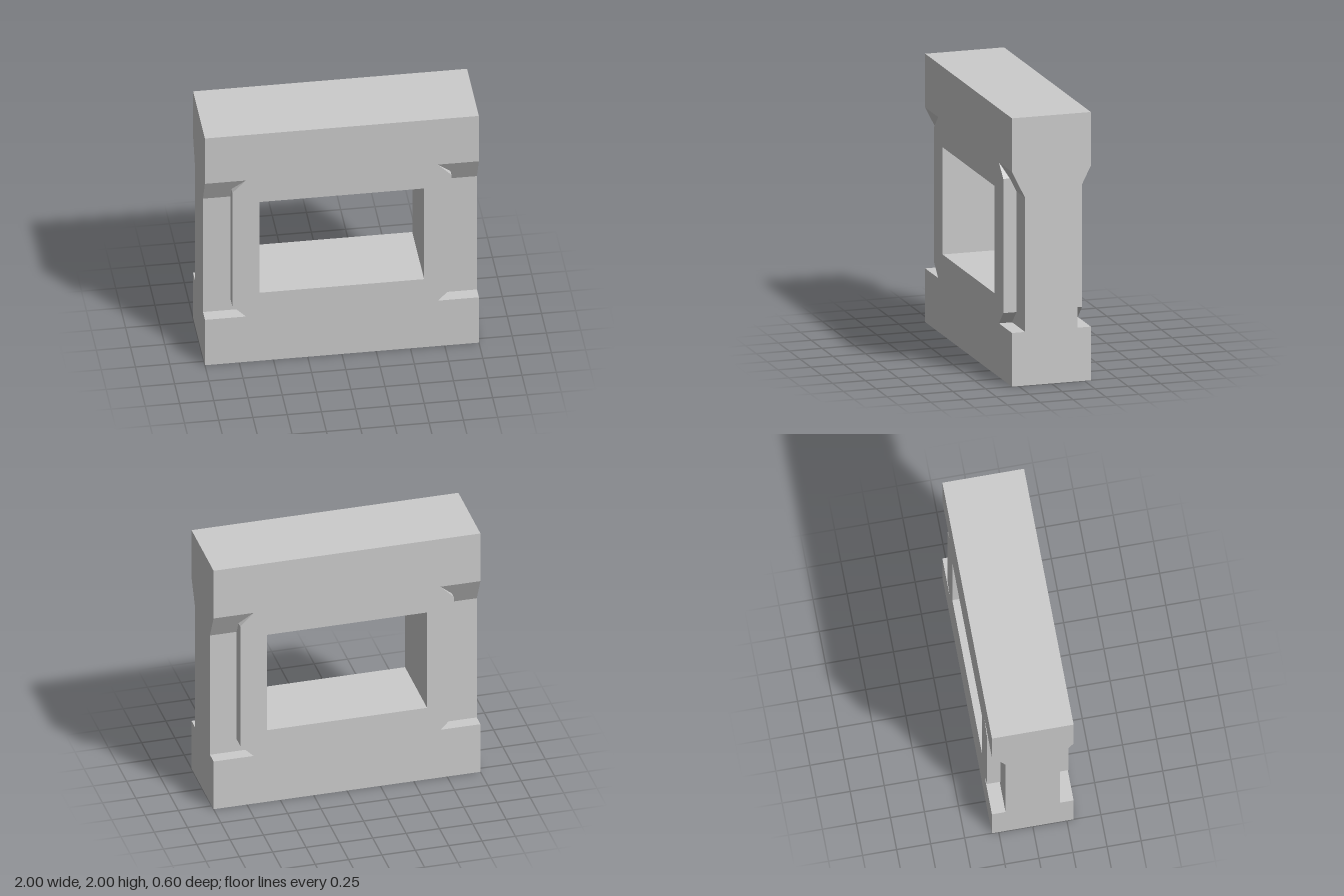
import * as THREE from 'three';

const material = new THREE.MeshStandardMaterial({ color: 0xcccccc, flatShading: true });

const toPoints = (pairs) => pairs.map(([x, y]) => new THREE.Vector2(x, y));

function extrude(shape, depth) {
  return new THREE.ExtrudeGeometry(shape, { depth, bevelEnabled: false });
}

function addMesh(group, name, geometry) {
  const mesh = new THREE.Mesh(geometry, material);
  mesh.name = name;
  group.add(mesh);
}

export function createModel() {
  const group = new THREE.Group();
  group.name = 'windowBlock';

  // Full-depth frame: base, raised window surround with undercut corners, top band
  const rightEdge = [[1, 0], [1, 0.4], [0.7, 0.4], [0.8, 0.5], [0.8, 1.5], [0.7, 1.6], [1, 1.6], [1, 2]];
  const leftEdge = rightEdge.map(([x, y]) => [-x, y]).reverse();
  const outline = new THREE.Shape(toPoints([...rightEdge, ...leftEdge]));
  outline.holes.push(new THREE.Path(toPoints([[-0.6, 0.6], [-0.6, 1.4], [0.6, 1.4], [0.6, 0.6]])));
  addMesh(group, 'windowFrame', extrude(outline, 0.6).translate(0, 0, -0.3));

  // Recessed side piers, flaring out to meet the top band (profile in z and y)
  const pierProfile = new THREE.Shape(toPoints([
    [-0.2, 0.4], [0.2, 0.4], [0.2, 1.4], [0.3, 1.6], [-0.3, 1.6], [-0.2, 1.4],
  ]));
  for (const [name, startX] of [['leftPier', 0.7], ['rightPier', -1]]) {
    addMesh(group, name, extrude(pierProfile, 0.3).rotateY(Math.PI / 2).translate(startX, 0, 0));
  }

  return group;
}
